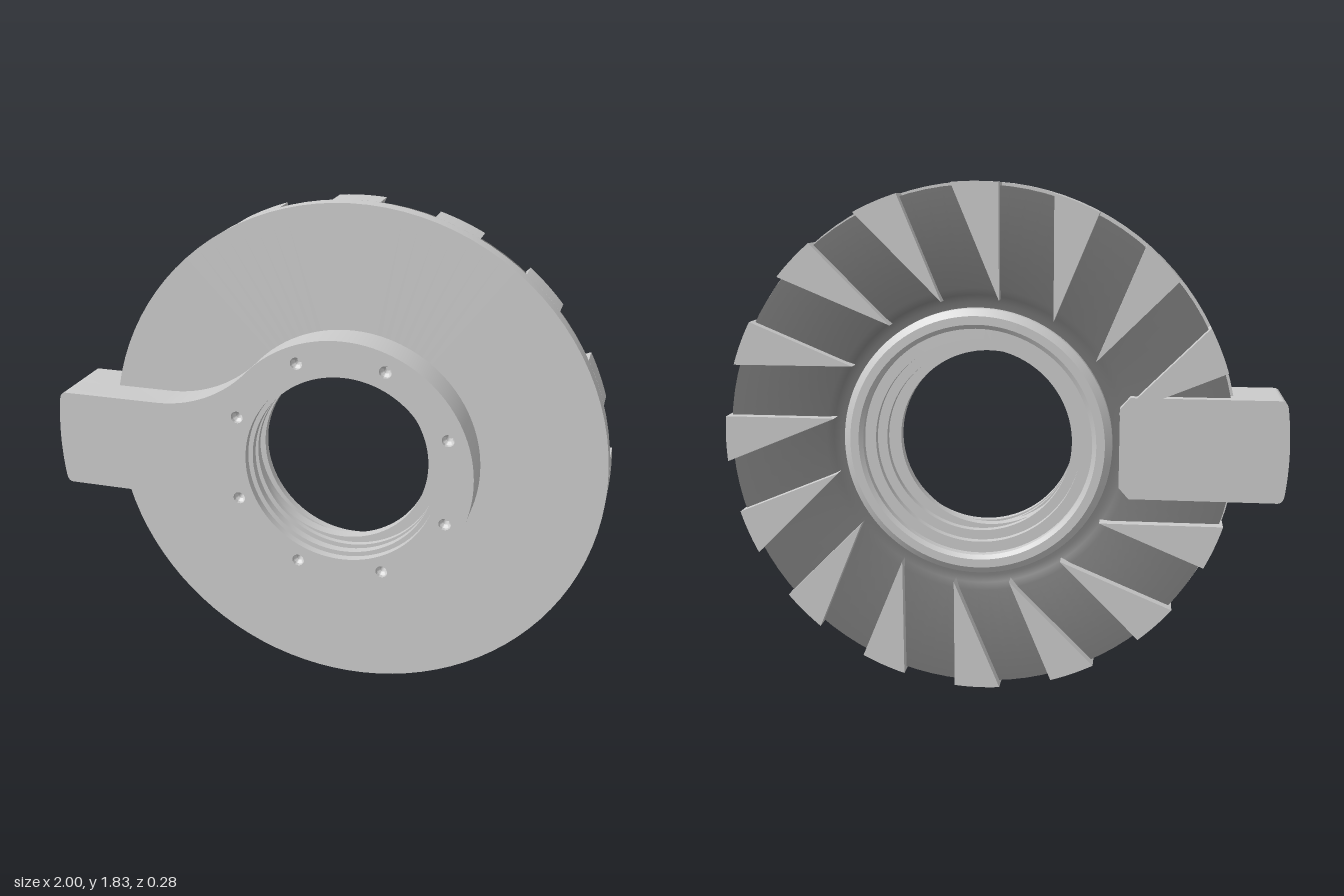
import * as THREE from 'three';
import { toCreasedNormals } from 'three/addons/utils/BufferGeometryUtils.js';

const R = 0.913;            // disc radius
const CX = 0.087, CY = R;   // disc axis
const HUB = 0.475, HALF = 0.18, TIP = -1 - CX;
const grey = new THREE.MeshStandardMaterial({ color: 0xcccccc });
const dark = new THREE.MeshStandardMaterial({ color: 0x777777 });

function add(parent, name, geometry, material = grey) {
  const mesh = new THREE.Mesh(toCreasedNormals(geometry, 0.5), material);
  mesh.name = name;
  parent.add(mesh);
  return mesh;
}

// Revolve [radius, z] points about the z axis
function revolve(points, segments = 96) {
  return new THREE.LatheGeometry(points.map(p => new THREE.Vector2(...p)), segments).rotateX(Math.PI / 2);
}

function slab(shape, z0, z1) {
  return new THREE.ExtrudeGeometry(shape, { depth: z1 - z0, bevelEnabled: false, curveSegments: 48 }).translate(0, 0, z0);
}

function circleHole(x, y, r) {
  return new THREE.Path().absarc(x, y, r, 0, Math.PI * 2, true);
}

// Rounded, slightly bowed end of the arm, drawn from its top edge to its bottom edge
function armTip(shape) {
  shape.lineTo(TIP + 0.035, HALF);
  shape.quadraticCurveTo(TIP + 0.014, HALF, TIP + 0.01, HALF - 0.03);
  shape.quadraticCurveTo(TIP - 0.01, 0, TIP + 0.01, -HALF + 0.03);
  shape.quadraticCurveTo(TIP + 0.014, -HALF, TIP + 0.035, -HALF);
}

export function createModel() {
  const model = new THREE.Group();
  model.name = 'discWithArm';
  const body = new THREE.Group();
  body.name = 'body';
  body.position.set(CX, CY, 0);
  model.add(body);

  // Disc with grooved bore and raised rear collar
  add(body, 'disc', revolve([
    [0.48, -0.05], [R, -0.05], [R, 0.01], [0.37, 0.01], [0.37, 0.11], [0.335, 0.11],
    [0.335, 0.08], [0.36, 0.08], [0.36, 0.05], [0.335, 0.05], [0.335, 0.03],
    [0.36, 0.03], [0.36, -0.03], [0.335, -0.03], [0.335, -0.06], [0.37, -0.06],
    [0.37, -0.09], [0.41, -0.09], [0.41, -0.12], [0.425, -0.13], [0.455, -0.13],
    [0.48, -0.11], [0.48, -0.05],
  ]));

  // Dark backing plate between the blocks, dished around the collar
  add(body, 'backingPlate', revolve([
    [0.47, -0.08], [0.5, -0.08], [0.525, -0.088], [0.55, -0.1], [0.902, -0.1], [0.902, -0.04],
  ]), dark);

  // Offset lip inside the bore
  const lip = new THREE.Shape().absarc(0, 0, 0.361, 0, Math.PI * 2);
  lip.holes.push(circleHole(-0.03, 0, 0.322));
  add(body, 'boreLip', slab(lip, -0.02, 0.02));

  // Hub plate blending into the arm through tangent fillets
  const cx = -0.69;
  const fillet = (cx * cx + HALF * HALF - HUB * HUB) / (2 * (HUB - HALF));
  const cy = HALF + fillet;
  const a = Math.atan2(cy, cx);
  const plate = new THREE.Shape();
  plate.absarc(0, 0, HUB, -a, a, false);
  plate.absarc(cx, cy, fillet, a - Math.PI, -Math.PI / 2, true);
  armTip(plate);
  plate.absarc(cx, -cy, fillet, Math.PI / 2, Math.PI - a, true);
  plate.holes.push(circleHole(0, 0, 0.352));
  const screws = [];
  for (let i = 0; i < 8; i++) {
    const t = (i + 0.5) * Math.PI / 4;
    screws.push([0.412 * Math.cos(t), 0.412 * Math.sin(t)]);
  }
  for (const [x, y] of screws) plate.holes.push(circleHole(x, y, 0.022));
  add(body, 'hubPlate', slab(plate, 0.01, 0.14));

  // Recessed screws with an open socket
  for (const [x, y] of screws) {
    const screw = add(body, 'screw', revolve([
      [0.0222, 0.11], [0.0222, 0.125], [0.012, 0.115], [0.01, 0.09], [0, 0.09],
    ], 20));
    screw.position.set(x, y, 0);
  }

  // Rear half of the arm, reaching in to the collar
  const rear = new THREE.Shape();
  rear.moveTo(-0.505, HALF - 0.04);
  rear.lineTo(-0.54, HALF);
  armTip(rear);
  rear.lineTo(-0.54, -HALF);
  rear.lineTo(-0.505, -HALF + 0.04);
  add(body, 'armRear', slab(rear, -0.14, 0.02));

  // Radial blocks with rounded outer ends; the arm takes the place of one
  const w = 0.083, e = Math.asin(w / R);
  const block = new THREE.Shape();
  block.moveTo(0.51, -w);
  block.absarc(0, 0, R, -e, e, false);
  block.lineTo(0.51, w);
  const blockGeometry = slab(block, -0.14, -0.05);
  for (let i = 0; i < 16; i++) {
    if (i === 8) continue;
    add(body, 'radialBlock', blockGeometry).rotation.z = i * Math.PI / 8;
  }
  return model;
}
